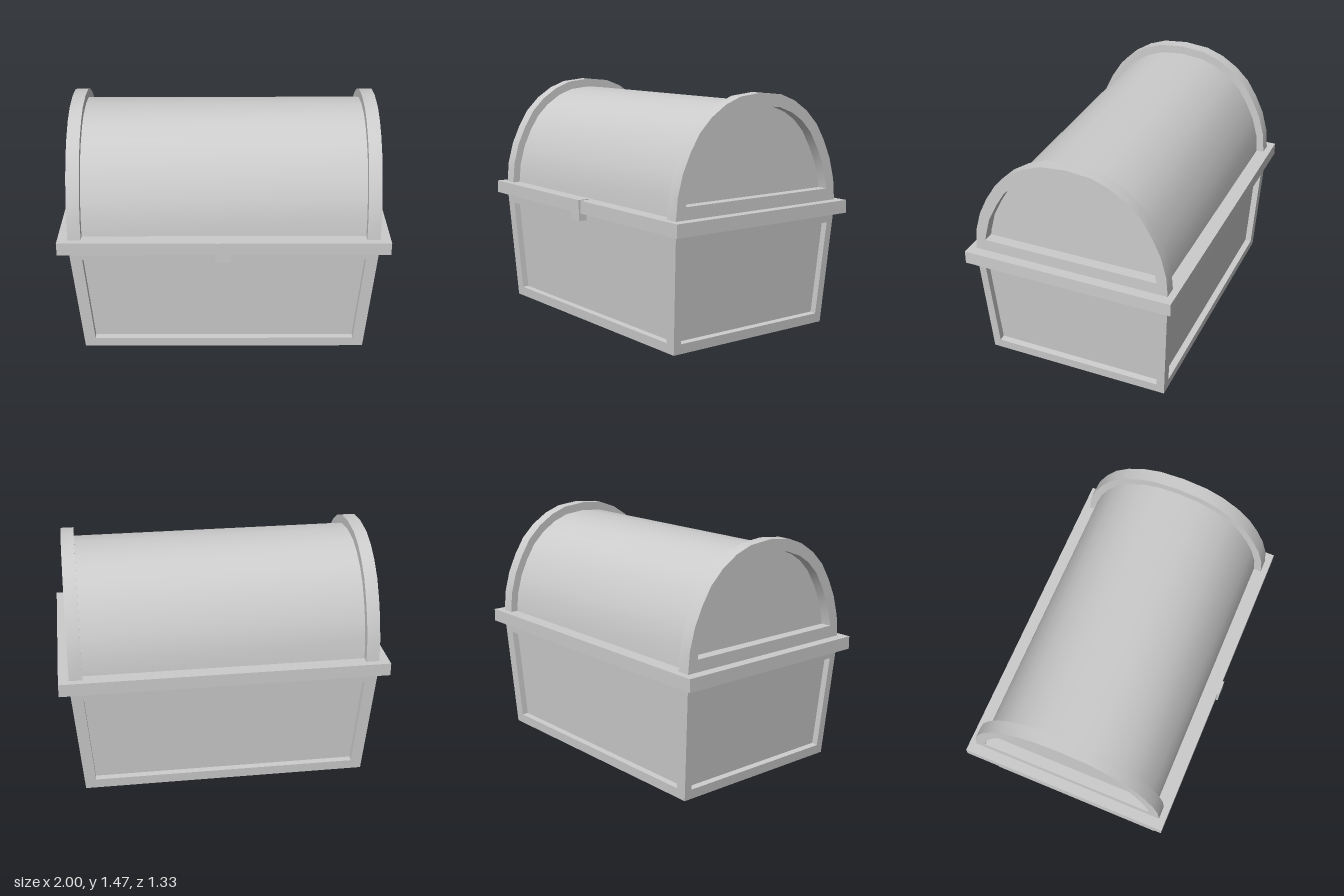
import * as THREE from 'three';
import { toCreasedNormals } from 'three/addons/utils/BufferGeometryUtils.js';

const Z0 = -0.005; // the latch sticks out in front, so the chest sits slightly back

// Half arch profiles as [half depth, height], from the bottom to the crown
const RIM = [[0.617, 0.78], [0.605, 0.913], [0.569, 1.044], [0.516, 1.157], [0.451, 1.261],
  [0.366, 1.344], [0.263, 1.41], [0.155, 1.45], [0, 1.465]];
const OPENING = [[0.547, 0.859], [0.541, 0.894], [0.511, 1.01], [0.458, 1.118], [0.4, 1.215],
  [0.327, 1.288], [0.248, 1.338], [0.145, 1.376], [0, 1.388]];

// Mirror a half profile into a full arch outline
const arch = (half) => [
  ...half.map(([z, y]) => new THREE.Vector2(z, y)),
  ...half.slice(0, -1).reverse().map(([z, y]) => new THREE.Vector2(-z, y)),
];

// Extrude an arch along x between x0 and x1
function archGeometry(half, x0, x1, hole) {
  const shape = new THREE.Shape(arch(half));
  if (hole) shape.holes.push(new THREE.Path(arch(hole)));
  const geo = new THREE.ExtrudeGeometry(shape, { depth: x1 - x0, bevelEnabled: false });
  geo.rotateY(Math.PI / 2);
  geo.translate(x0, 0, Z0);
  return toCreasedNormals(geo, 0.55);
}

// Tapered chest body: four framed sides with sunken panels, plus a floor
function bodyGeometry() {
  const H = 0.71, LOW = 0.06, HIGH = 0.645, SUNK = 0.04;
  const pos = [];
  const quad = (a, b, c, d) => [a, b, c, a, c, d].forEach((p) => pos.push(p.x, p.y, p.z));
  const side = (angle, wide, far, inner) => {
    const at = (u, y) => new THREE.Vector3(u, y, THREE.MathUtils.lerp(far[0], far[1], y / H));
    const corners = (w, y0, y1) => [at(-w[0], y0), at(w[0], y0), at(w[1], y1), at(-w[1], y1)];
    const inward = new THREE.Vector3(0, far[1] - far[0], -H).normalize().multiplyScalar(SUNK);
    const outer = corners(wide, 0, H);
    const edge = corners(inner, LOW, HIGH);
    const panel = edge.map((p) => p.clone().add(inward));
    const up = new THREE.Vector3(0, 1, 0);
    [outer, edge, panel].forEach((ring) => ring.forEach((p) => p.applyAxisAngle(up, angle)));
    for (let i = 0; i < 4; i++) {
      const j = (i + 1) % 4;
      quad(outer[i], outer[j], edge[j], edge[i]);
      quad(edge[i], edge[j], panel[j], panel[i]);
    }
    quad(...panel);
  };
  const X = [0.875, 0.935], Z = [0.582, 0.615];
  for (const turn of [0, Math.PI]) {
    side(turn, X, Z, [0.81, 0.857]);
    side(turn + Math.PI / 2, Z, X, [0.535, 0.566]);
  }
  const v = (x, z) => new THREE.Vector3(x, 0, z);
  quad(v(-X[0], -Z[0]), v(X[0], -Z[0]), v(X[0], Z[0]), v(-X[0], Z[0]));
  const geo = new THREE.BufferGeometry();
  geo.setAttribute('position', new THREE.Float32BufferAttribute(pos, 3));
  geo.computeVertexNormals();
  geo.translate(0, 0, Z0);
  return geo;
}

export function createModel() {
  const chest = new THREE.Group();
  chest.name = 'chest';
  const grey = new THREE.MeshStandardMaterial({ color: 0xcccccc });
  grey.name = 'plain grey';
  const add = (name, geo) => {
    const mesh = new THREE.Mesh(geo, grey);
    mesh.name = name;
    chest.add(mesh);
    return mesh;
  };

  add('body', bodyGeometry());

  // Flat band between body and lid
  add('band', new THREE.BoxGeometry(2, 0.08, 1.316)).position.set(0, 0.745, Z0);

  // Barrel lid; its end faces form the sunken end panels
  const barrel = RIM.map(([z, y]) => [z * 0.922, 0.78 + (y - 0.78) * 0.922]);
  add('lidBarrel', archGeometry(barrel, -0.87, 0.87));

  // Raised arched frames at both ends
  add('leftLidFrame', archGeometry(RIM, 0.857, 0.937, OPENING));
  add('rightLidFrame', archGeometry(RIM, -0.937, -0.857, OPENING));

  // Latch on the front of the band
  add('latch', new THREE.BoxGeometry(0.09, 0.132, 0.075)).position.set(-0.005, 0.724, 0.6275);

  return chest;
}
